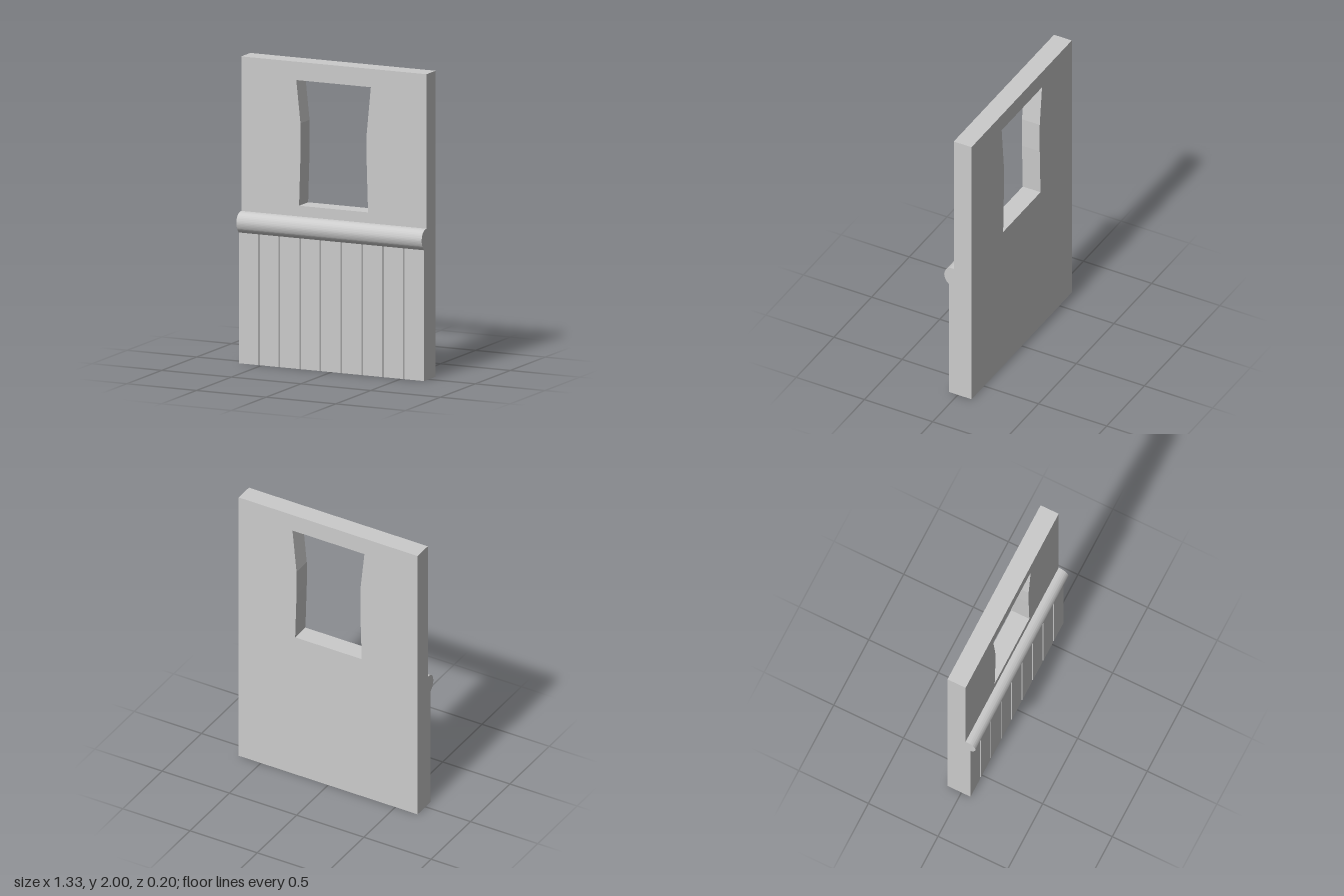
import * as THREE from 'three';
import { toCreasedNormals } from 'three/addons/utils/BufferGeometryUtils.js';

const HALF = 0.665, BACK = -0.1, FACE = 0.03, PANEL = 0.065, RAIL_Y = 0.855;
const material = new THREE.MeshStandardMaterial({ color: 0xcccccc });

const points = (list) => list.map(([x, y]) => new THREE.Vector2(x, y));

function extrude(shape, depth) {
  return new THREE.ExtrudeGeometry(shape, { depth, bevelEnabled: false, curveSegments: 14 });
}

function addPart(group, name, geometry) {
  const mesh = new THREE.Mesh(geometry, material);
  mesh.name = name;
  group.add(mesh);
}

export function createModel() {
  const group = new THREE.Group();
  group.name = 'windowWall';

  // Wall slab with a slightly crooked, waisted window opening
  const wall = new THREE.Shape(points([[-HALF, 0], [HALF, 0], [HALF, 2], [-HALF, 2]]));
  wall.holes.push(new THREE.Path(points([
    [-0.25, 1.06], [-0.24, 1.39], [-0.24, 1.6], [-0.27, 1.88],
    [0.265, 1.88], [0.235, 1.57], [0.235, 1.39], [0.245, 1.06],
  ])));
  addPart(group, 'wall', extrude(wall, FACE - BACK).translate(0, 0, BACK));

  // Plank panelling: a plan outline with V grooves, raised along y
  const outline = [[-HALF, -FACE], [-HALF, -PANEL]];
  for (const x of [-0.52, -0.375, -0.225, -0.08, 0.07, 0.22, 0.37, 0.52]) {
    outline.push([x - 0.006, -PANEL], [x, -PANEL + 0.012], [x + 0.006, -PANEL]);
  }
  outline.push([HALF, -PANEL], [HALF, -FACE]);
  addPart(group, 'planks', extrude(new THREE.Shape(points(outline)), RAIL_Y).rotateX(-Math.PI / 2));

  // Rounded chair rail: a side profile swept along x
  const rail = new THREE.Shape();
  rail.moveTo(-FACE, RAIL_Y);
  rail.lineTo(-PANEL, RAIL_Y);
  rail.splineThru(points([[-0.09, 0.885], [-0.1, 0.925], [-0.088, 0.963], [-0.062, 0.984], [-FACE, 0.99]]));
  const railGeometry = extrude(rail, HALF * 2).rotateY(Math.PI / 2).translate(-HALF, 0, 0);
  addPart(group, 'chairRail', toCreasedNormals(railGeometry, 0.6));

  return group;
}
